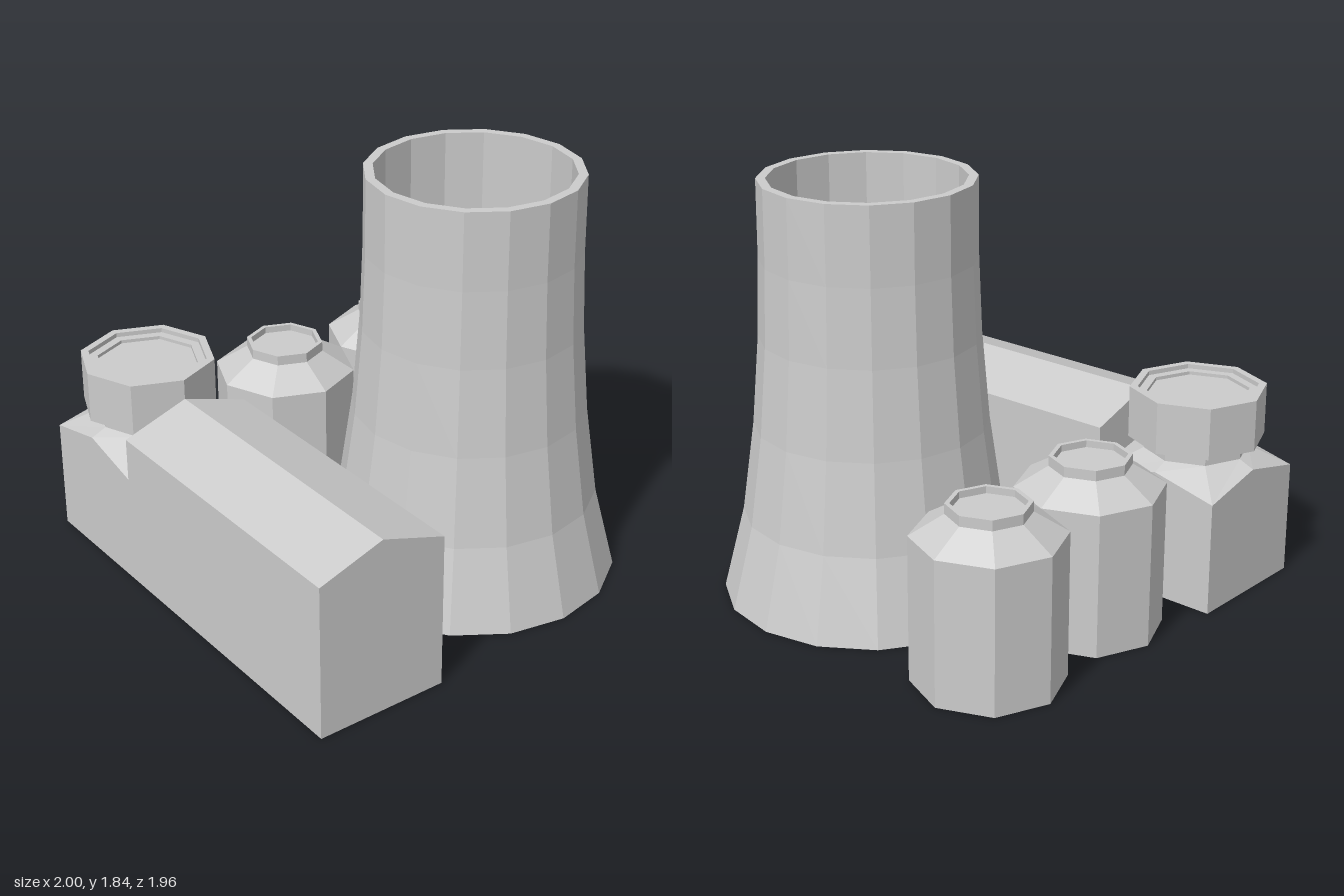
import * as THREE from 'three';

const material = new THREE.MeshStandardMaterial({ color: 0xcccccc, flatShading: true });

function addMesh(parent, name, geometry, x = 0, y = 0, z = 0) {
  const mesh = new THREE.Mesh(geometry, material);
  mesh.name = name;
  mesh.position.set(x, y, z);
  parent.add(mesh);
  return mesh;
}

// Faceted solid of revolution from [radius, height] pairs
function turned(profile, sides) {
  return new THREE.LatheGeometry(profile.map(([r, y]) => new THREE.Vector2(r, y)), sides);
}

// Square base whose four walls end in low gables, lofted into an octagonal collar
function crossGableBlock(half, eave, peak, collarRadius, collarY) {
  const positions = [], index = [];
  const rings = [
    () => 0,
    (corner) => (corner ? eave : peak),
    () => collarY,
  ];
  rings.forEach((height, ring) => {
    for (let i = 0; i < 8; i++) {
      const corner = i % 2 === 1;
      const a = (i * Math.PI) / 4;
      const r = ring === 2 ? collarRadius : corner ? half * Math.SQRT2 : half;
      positions.push(r * Math.sin(a), height(corner), r * Math.cos(a));
    }
  });
  for (let ring = 0; ring < 2; ring++) {
    for (let i = 0; i < 8; i++) {
      const a = ring * 8 + i, b = ring * 8 + ((i + 1) % 8);
      index.push(a, b, b + 8, a, b + 8, a + 8);
    }
  }
  // Underside and collar cap
  for (let i = 1; i < 7; i++) index.push(0, i + 1, i, 16, 16 + i, 17 + i);
  const geometry = new THREE.BufferGeometry();
  geometry.setAttribute('position', new THREE.Float32BufferAttribute(positions, 3));
  geometry.setIndex(index);
  geometry.computeVertexNormals();
  return geometry;
}

export function createModel() {
  const model = new THREE.Group();
  model.name = 'powerPlant';

  // Cooling tower: flared shell with a thin rim and a deep hollow
  addMesh(model, 'coolingTower', turned([
    [0, 0], [0.66, 0], [0.565, 0.37], [0.508, 0.77], [0.475, 1.16], [0.462, 1.5],
    [0.46, 1.84], [0.42, 1.84], [0.42, 0.95], [0, 0.95],
  ], 16), 0.3, 0, -0.32);

  // Two silos with conical shoulders and recessed collars
  const silo = turned([
    [0, 0], [0.32, 0], [0.32, 0.635], [0.175, 0.725],
    [0.175, 0.77], [0.155, 0.77], [0.155, 0.74], [0, 0.74],
  ], 8);
  addMesh(model, 'rearSilo', silo, -0.66, 0, -0.66);
  addMesh(model, 'frontSilo', silo, -0.66, 0, -0.02);

  // Long hall with a gable roof
  const gable = new THREE.Shape([
    [-0.3, 0], [0.3, 0], [0.3, 0.7], [0, 0.8], [-0.3, 0.7],
  ].map(([x, y]) => new THREE.Vector2(x, y)));
  const hall = new THREE.ExtrudeGeometry(gable, { depth: 1.4, bevelEnabled: false });
  hall.rotateY(Math.PI / 2);
  addMesh(model, 'hall', hall, -0.4, 0, 0.68);

  // Lower end block carrying a tank on a narrow neck
  const tower = new THREE.Group();
  tower.name = 'tankTower';
  tower.position.set(-0.7, 0, 0.68);
  model.add(tower);
  addMesh(tower, 'tankBase', crossGableBlock(0.3, 0.505, 0.575, 0.23, 0.605));
  addMesh(tower, 'tank', turned([
    [0.23, 0.605], [0.23, 0.66], [0.3, 0.66], [0.3, 0.89], [0.265, 0.89],
    [0.265, 0.87], [0.225, 0.87], [0.225, 0.855], [0, 0.855],
  ], 8));

  return model;
}
